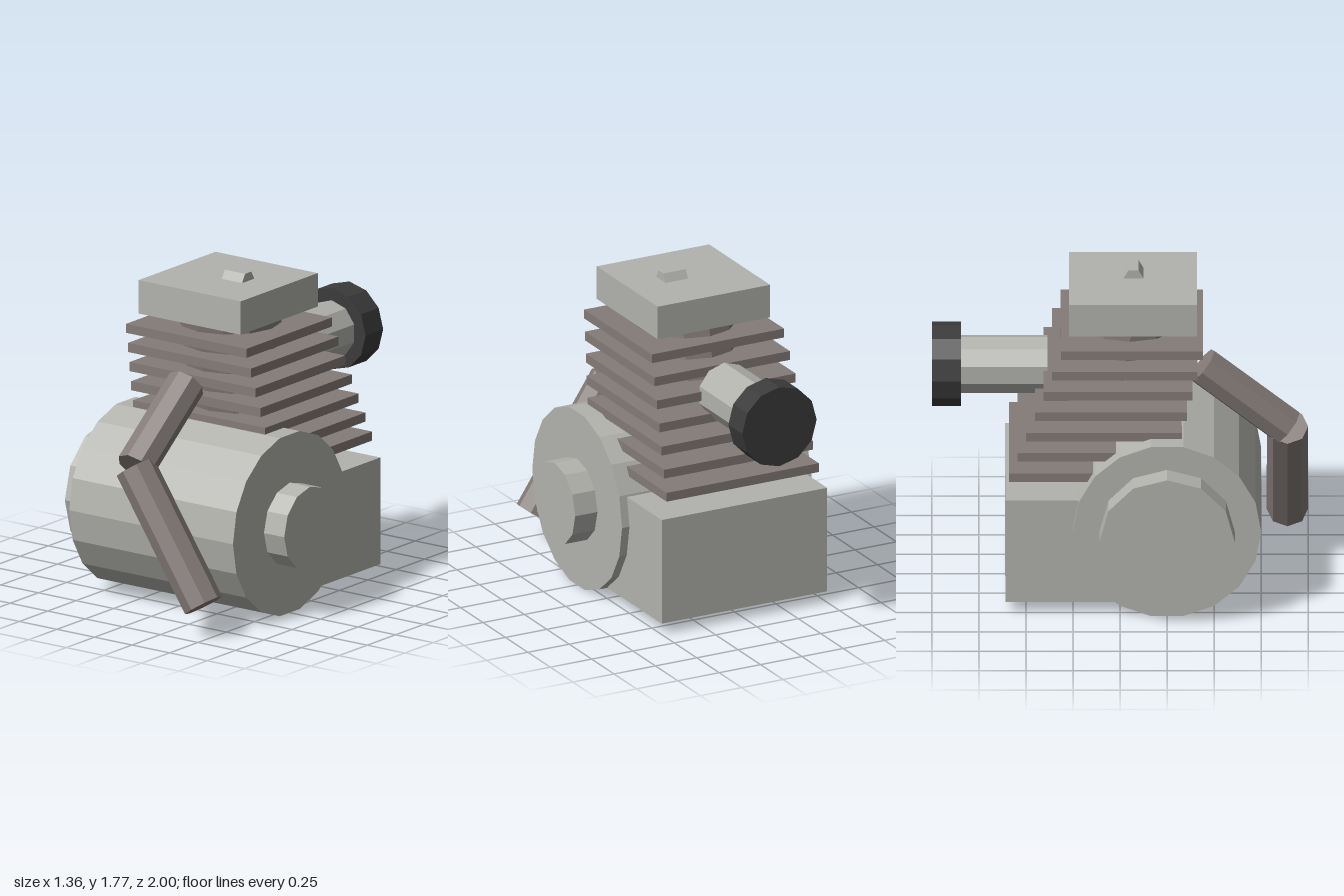
import * as THREE from 'three';

export function createModel() {
  const root = new THREE.Group();
  root.name = 'engine';

  const material = (name, color) => {
    const m = new THREE.MeshStandardMaterial({ color, flatShading: true });
    m.name = name;
    return m;
  };
  const alloy = material('light alloy', 0xb2b3ad);
  const iron = material('warm iron', 0x847b78);
  const rubber = material('dark rubber', 0x3b3b3b);

  const add = (name, geometry, mat, parent = root) => {
    const mesh = new THREE.Mesh(geometry, mat);
    mesh.name = name;
    parent.add(mesh);
    return mesh;
  };
  const box = (name, size, pos, mat, parent) =>
    add(name, new THREE.BoxGeometry(...size), mat, parent).position.set(...pos);

  // Cylinder running from point a to point b
  const up = new THREE.Vector3(0, 1, 0);
  const rod = (name, a, b, radius, sides, mat, parent) => {
    const start = new THREE.Vector3(...a);
    const end = new THREE.Vector3(...b);
    const axis = end.clone().sub(start);
    const mesh = add(name, new THREE.CylinderGeometry(radius, radius, axis.length(), sides), mat, parent);
    mesh.position.copy(start).add(end).multiplyScalar(0.5);
    mesh.quaternion.setFromUnitVectors(up, axis.normalize());
  };

  // Crankcase with flywheel cover and shaft cover on its ends
  const cy = 0.495, cz = 0.25;
  rod('crankcase', [-0.545, cy, cz], [0.545, cy, cz], 0.5, 18, alloy);
  rod('flywheelCover', [-0.68, cy, cz], [-0.54, cy, cz], 0.36, 12, alloy);
  rod('shaftCover', [0.54, cy, cz], [0.68, cy, cz], 0.227, 12, alloy);

  // Gearbox behind the crankcase
  box('gearbox', [1, 0.59, 0.76], [0, 0.36, -0.23], alloy);

  // Leaning barrel with level cooling fins that widen downwards
  rod('barrel', [0, 0.63, -0.108], [0, 1.587, 0.073], 0.275, 12, iron);
  const fins = new THREE.Group();
  fins.name = 'coolingFins';
  root.add(fins);
  for (let i = 0; i < 7; i++) {
    box('fin', [0.8 + 0.02 * i, 0.05, 0.755 + 0.018 * i],
      [0, 1.455 - 0.114 * i, 0.0625 - 0.037 * i], iron, fins);
  }

  // Cylinder head and the hexagonal plug on top
  box('cylinderHead', [0.68, 0.185, 0.68], [0, 1.633, 0.07], alloy);
  rod('plug', [0, 1.723, 0.072], [0.135, 1.723, 0.072], 0.055, 6, alloy);

  // Exhaust in two straight lengths
  const exhaust = new THREE.Group();
  exhaust.name = 'exhaust';
  root.add(exhaust);
  rod('upperPipe', [0, 1.22, 0.437], [0, 0.86, 0.89], 0.105, 8, iron, exhaust);
  rod('lowerPipe', [0, 0.862, 0.89], [0.455, 0.175, 0.89], 0.11, 8, iron, exhaust);

  // Intake tube and air filter at the back
  rod('intakeTube', [0, 1.227, -0.385], [0, 1.227, -0.86], 0.157, 10, alloy);
  rod('airFilter', [0, 1.227, -0.845], [0, 1.227, -1], 0.225, 12, rubber);

  return root;
}
